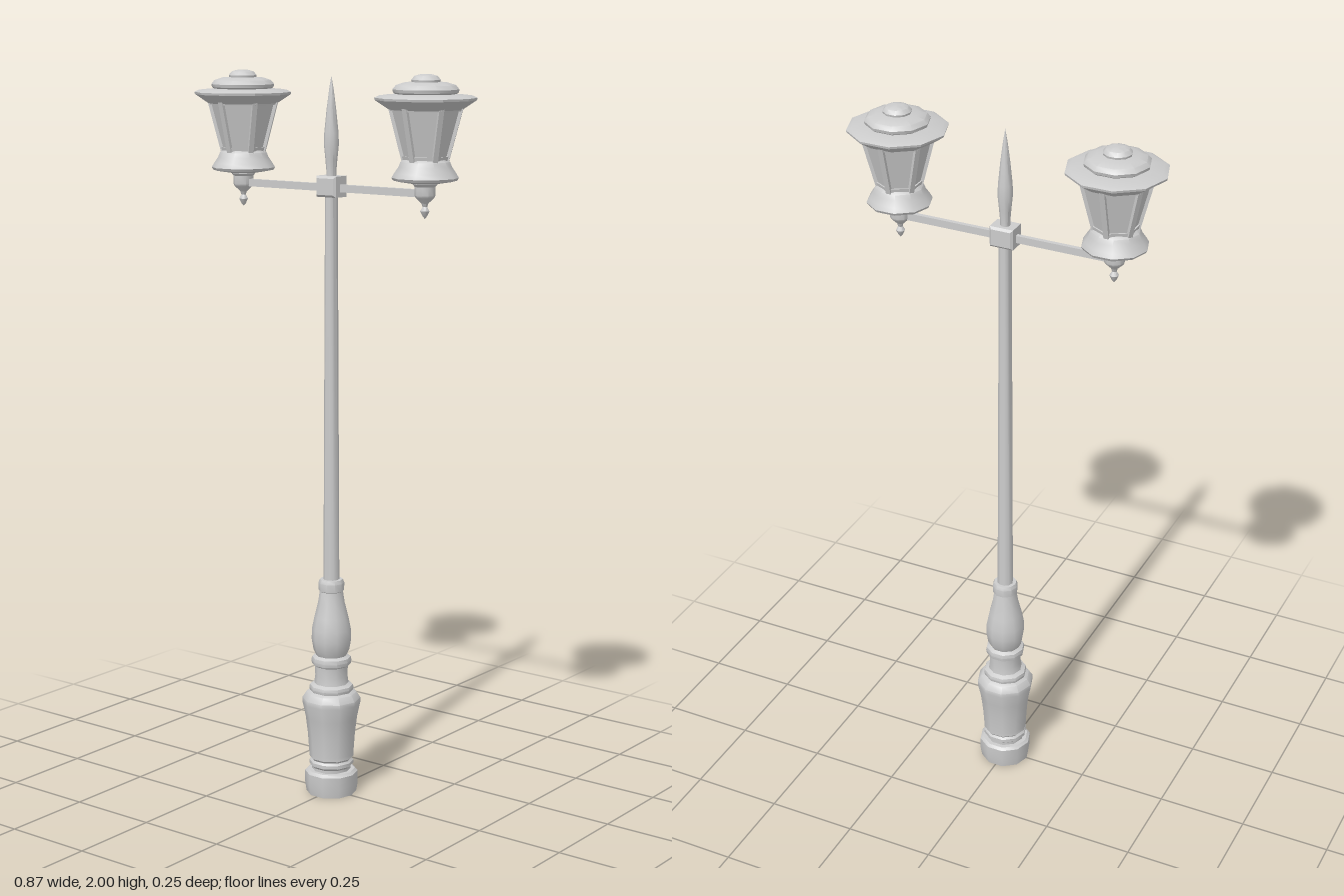
import * as THREE from 'three';
import { toCreasedNormals } from 'three/addons/utils/BufferGeometryUtils.js';

const material = new THREE.MeshStandardMaterial({ color: 0xcccccc });

function add(parent, name, geometry, x = 0, y = 0, z = 0) {
  const mesh = new THREE.Mesh(geometry, material);
  mesh.name = name;
  mesh.position.set(x, y, z);
  parent.add(mesh);
  return mesh;
}

// Turned part: [radius, height] pairs from bottom to top, with a corner on +x
function turned(profile, sides = 10, crease = 0.66) {
  const points = profile.map(([r, y]) => new THREE.Vector2(r, y));
  const geometry = new THREE.LatheGeometry(points, sides);
  geometry.rotateY(Math.PI / 2);
  return toCreasedNormals(geometry, crease);
}

function createLantern() {
  const lantern = new THREE.Group();
  lantern.name = 'lantern';

  // Hanging finial and the socket that holds the arm
  add(lantern, 'lanternFinial', turned([
    [0, 1.63], [0.006, 1.637], [0.012, 1.65], [0.006, 1.661], [0.009, 1.67],
    [0.024, 1.684], [0.027, 1.69], [0.027, 1.713], [0.033, 1.72], [0.033, 1.735], [0, 1.735],
  ]));

  // Bell-shaped cup under the glass
  add(lantern, 'lanternCup', turned([
    [0, 1.722], [0.04, 1.722], [0.083, 1.729], [0.087, 1.736], [0.08, 1.748],
    [0.069, 1.764], [0.064, 1.777], [0.056, 1.783], [0, 1.783],
  ]));

  // Six-sided tapered glass with a corner facing front
  const yLow = 1.775, yHigh = 1.92, rLow = 0.06, rHigh = 0.098;
  const glass = new THREE.CylinderGeometry(rHigh - 0.005, rLow - 0.005, yHigh - yLow, 6);
  add(lantern, 'glassPanels', toCreasedNormals(glass, 0.5), 0, (yLow + yHigh) / 2, 0);

  // Corner posts leaning with the glass
  const lean = Math.atan2(rHigh - rLow, yHigh - yLow);
  const length = Math.hypot(rHigh - rLow, yHigh - yLow);
  for (let i = 0; i < 6; i++) {
    const post = new THREE.BoxGeometry(0.014, length, 0.01);
    post.rotateX(lean);
    post.translate(0, (yLow + yHigh) / 2, (rLow + rHigh) / 2 - 0.005);
    post.rotateY((i * Math.PI) / 3);
    add(lantern, 'cornerPost', post);
  }

  // Rails around the top and bottom of the glass
  add(lantern, 'topRail', toCreasedNormals(new THREE.CylinderGeometry(0.099, 0.095, 0.014, 6), 0.5), 0, 1.913, 0);
  add(lantern, 'bottomRail', toCreasedNormals(new THREE.CylinderGeometry(0.064, 0.061, 0.012, 6), 0.5), 0, 1.785, 0);

  // Wide flared roof, stepped cap and knob
  add(lantern, 'roof', turned([
    [0, 1.91], [0.095, 1.91], [0.107, 1.918], [0.131, 1.934], [0.1325, 1.94],
    [0.12, 1.946], [0.07, 1.95], [0, 1.95],
  ], 10, 0.5));
  add(lantern, 'roofCap', turned([
    [0.072, 1.945], [0.084, 1.953], [0.086, 1.961], [0.077, 1.972], [0.055, 1.979], [0, 1.981],
  ]));
  add(lantern, 'roofKnob', turned([
    [0.036, 1.975], [0.038, 1.985], [0.03, 1.995], [0.016, 1.999], [0, 2],
  ]));
  return lantern;
}

export function createModel() {
  const model = new THREE.Group();
  model.name = 'streetLamp';

  // Foot and turned pedestal
  add(model, 'foot', turned([
    [0, 0], [0.07, 0], [0.074, 0.025], [0.074, 0.06], [0.066, 0.067], [0, 0.067],
  ]));
  add(model, 'pedestal', turned([
    [0.054, 0.06], [0.054, 0.075], [0.062, 0.082], [0.062, 0.092], [0.057, 0.098],
    [0.062, 0.104], [0.062, 0.114], [0.066, 0.17], [0.072, 0.22], [0.081, 0.262],
    [0.081, 0.275], [0.07, 0.292], [0.06, 0.297], [0.062, 0.305], [0.06, 0.313],
    [0.048, 0.319], [0.045, 0.34], [0.046, 0.37],
  ]));
  add(model, 'pedestalRing', turned([
    [0.044, 0.368], [0.054, 0.374], [0.056, 0.384], [0.054, 0.394], [0.044, 0.4],
  ]));
  add(model, 'vase', turned([
    [0.042, 0.398], [0.05, 0.415], [0.055, 0.445], [0.054, 0.475], [0.047, 0.51],
    [0.037, 0.55], [0.031, 0.59],
  ]));
  add(model, 'collar', turned([
    [0.028, 0.58], [0.035, 0.585], [0.036, 0.607], [0.032, 0.617], [0, 0.617],
  ]));

  // Slightly tapered pole and the spike above it
  add(model, 'pole', turned([[0.022, 0.61], [0.017, 1.69]]));
  add(model, 'spike', turned([
    [0.014, 1.71], [0.013, 1.735], [0.016, 1.77], [0.02, 1.81], [0.019, 1.84],
    [0.013, 1.9], [0.006, 1.955], [0, 1.99],
  ]));

  // Bevelled block joining the arms to the pole
  const block = new THREE.Shape();
  block.moveTo(-0.027, -0.022).lineTo(0.027, -0.022).lineTo(0.027, 0.022).lineTo(-0.027, 0.022).closePath();
  const blockGeometry = new THREE.ExtrudeGeometry(block, {
    depth: 0.046, bevelEnabled: true, bevelSize: 0.006, bevelThickness: 0.006, bevelSegments: 1,
  });
  blockGeometry.translate(0, 0, -0.023);
  add(model, 'armBlock', blockGeometry, 0, 1.699, 0);

  // An arm and a lantern on each side
  for (const side of [-1, 1]) {
    add(model, 'arm', new THREE.BoxGeometry(0.28, 0.02, 0.012), side * 0.15, 1.695, 0);
    const lantern = createLantern();
    lantern.position.x = side * 0.304;
    model.add(lantern);
  }
  return model;
}
